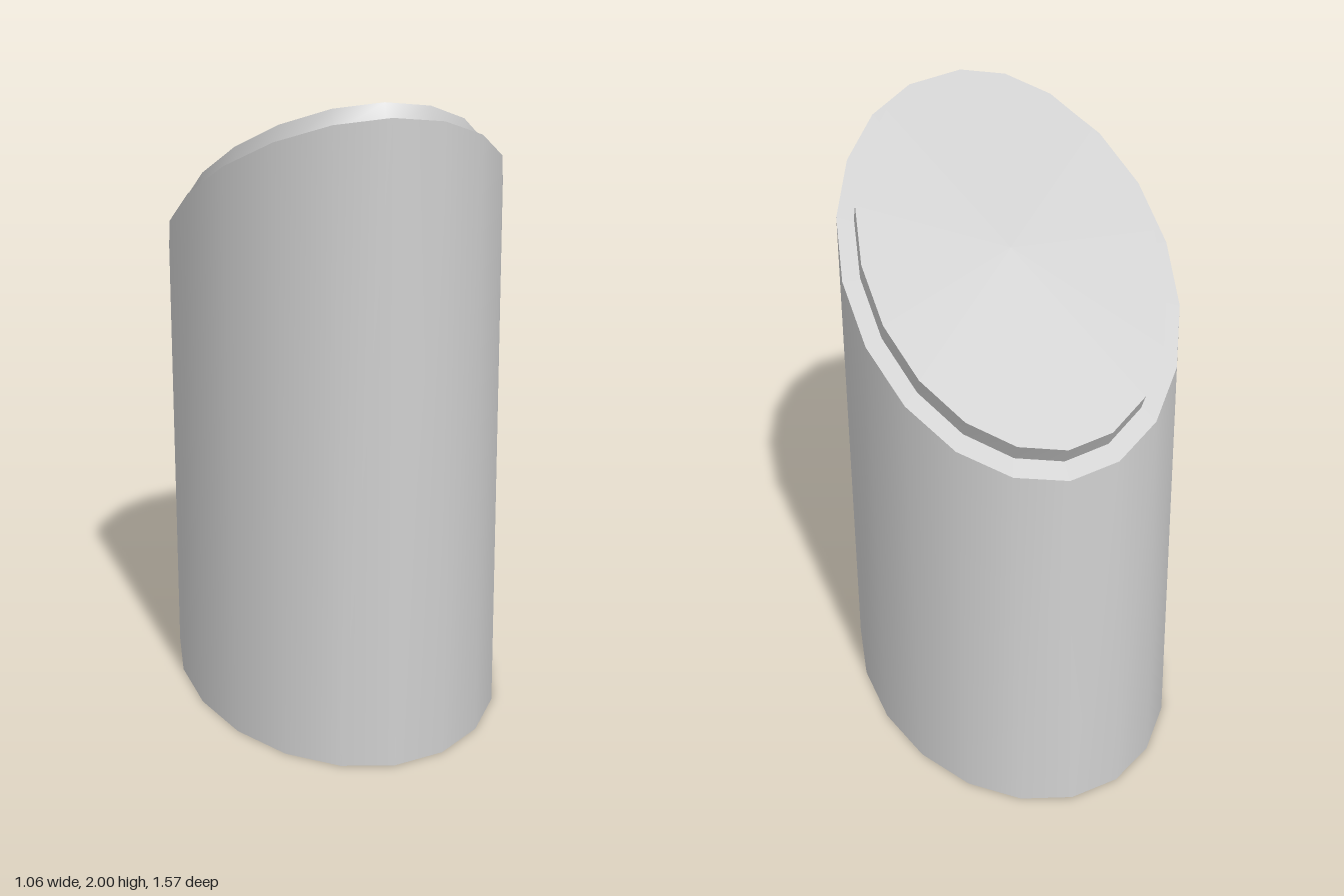
import * as THREE from 'three';
import { toCreasedNormals } from 'three/addons/utils/BufferGeometryUtils.js';

const SIDES = 20;
const TILT = Math.PI / 6; // slope of the top, rising towards the front
const MID = 1.577; // height of the sloped top at the axis

export function createModel() {
  const group = new THREE.Group();
  const material = new THREE.MeshStandardMaterial({ color: 0xcccccc });

  const add = (name, geometry) => {
    const mesh = new THREE.Mesh(toCreasedNormals(geometry, 0.7), material);
    mesh.name = name;
    group.add(mesh);
    return mesh;
  };

  // Oval body: tapers in depth only, cut off by the sloped plane
  const body = new THREE.CylinderGeometry(1, 1, 1, SIDES);
  const p = body.attributes.position;
  for (let i = 0; i < p.count; i++) {
    const top = p.getY(i) > 0;
    const z = p.getZ(i) * (top ? 0.682 : 0.787);
    p.setXYZ(i, p.getX(i) * 0.532, top ? MID + z * Math.tan(TILT) : 0, z);
  }
  add('body', body);

  // Raised oval plate lying on the sloped top
  const thickness = 0.07;
  const plate = new THREE.CylinderGeometry(1, 1, thickness, SIDES);
  plate.scale(0.475, 1, 0.63 / Math.cos(TILT));
  plate.translate(0, thickness / 2, 0);
  plate.rotateX(-TILT);
  plate.translate(0, MID + 0.005 * Math.tan(TILT), 0.005);
  add('topPlate', plate);

  return group;
}
